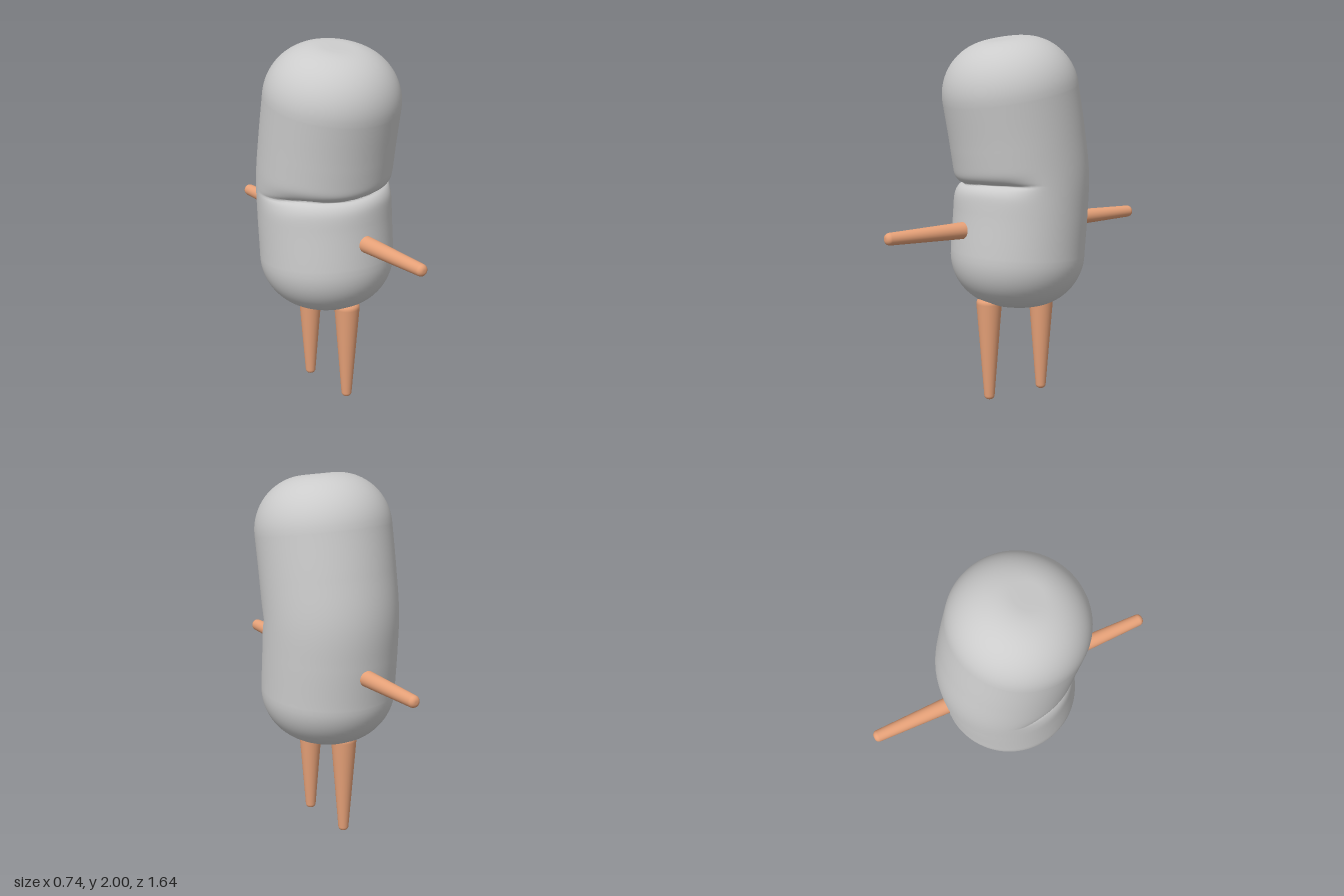
import * as THREE from 'three';
import { mergeVertices } from 'three/addons/utils/BufferGeometryUtils.js';

const grey = new THREE.MeshStandardMaterial({ color: 0xcccccc });
const skin = new THREE.MeshStandardMaterial({ color: 0xe6a178 });

const BASE = 0.52, LENGTH = 1.47, RADIUS = 0.37, ROUND = 0.29;

// Rounded capsule, bent forward along a spine, with a fold across the belly
function bodyGeometry() {
  const profile = [];
  const arc = 20, rows = 110, flat = RADIUS - ROUND;
  profile.push(new THREE.Vector2(0, 0), new THREE.Vector2(flat / 2, 0));
  for (let i = 0; i <= arc; i++) {
    const a = (i / arc) * Math.PI / 2;
    profile.push(new THREE.Vector2(flat + ROUND * Math.sin(a), ROUND * (1 - Math.cos(a))));
  }
  for (let i = 1; i < rows; i++) {
    profile.push(new THREE.Vector2(RADIUS, ROUND + (LENGTH - 2 * ROUND) * i / rows));
  }
  for (let i = 0; i <= arc; i++) {
    const a = (i / arc) * Math.PI / 2;
    profile.push(new THREE.Vector2(flat + ROUND * Math.cos(a), LENGTH - ROUND * (1 - Math.sin(a))));
  }
  profile.push(new THREE.Vector2(flat / 2, LENGTH), new THREE.Vector2(0, LENGTH));

  let geo = new THREE.LatheGeometry(profile, 80);
  geo.deleteAttribute('uv');
  geo.deleteAttribute('normal');
  geo = mergeVertices(geo, 1e-5);

  // Spine: slight backward lean below the fold, forward lean above
  const spine = new THREE.CatmullRomCurve3([
    [0.52, 0.005], [0.8, -0.005], [1.05, -0.025], [1.24, -0.032], [1.45, -0.003], [1.7, 0.043], [1.98, 0.094],
  ].map(([y, z]) => new THREE.Vector3(0, y, z)));
  const pos = geo.attributes.position;
  const v = new THREE.Vector3();
  for (let i = 0; i < pos.count; i++) {
    v.fromBufferAttribute(pos, i);
    const angle = Math.atan2(v.x, v.z);
    // Fold: deepest in front, reaching further round the right side
    const reach = angle < 0 ? 1.95 : 1.3;
    const mask = 1 - THREE.MathUtils.smoothstep(Math.abs(angle), reach * 0.5, reach);
    const d = v.y + BASE - (1.215 + 0.05 * v.x + 0.006 * Math.sin(angle * 5));
    const dent = mask * (0.035 * Math.exp(-Math.abs(d) / 0.014) + 0.022 * Math.exp(-((d / 0.06) ** 2)));
    const k = 1 - dent / RADIUS;
    const t = THREE.MathUtils.clamp(v.y / LENGTH, 0, 1);
    const c = spine.getPointAt(t), tan = spine.getTangentAt(t);
    const x = v.x * k, z = v.z * k;
    pos.setXYZ(i, x, c.y - z * tan.z, c.z + z * tan.y);
  }
  geo.computeVertexNormals();
  return geo;
}

// Tapered peg with a rounded tip, root at the origin, pointing along +y
function peg(name, length, rootRadius, tipRadius) {
  const bevel = tipRadius * 0.8;
  const pts = [new THREE.Vector2(0, 0), new THREE.Vector2(rootRadius * 0.75, 0),
    new THREE.Vector2(rootRadius * 0.95, 0.01), new THREE.Vector2(rootRadius, 0.03)];
  for (let i = 0; i <= 8; i++) {
    const a = (i / 8) * Math.PI / 2;
    pts.push(new THREE.Vector2(tipRadius - bevel * (1 - Math.cos(a)), length - bevel * (1 - Math.sin(a))));
  }
  pts.push(new THREE.Vector2(0, length));
  const mesh = new THREE.Mesh(new THREE.LatheGeometry(pts, 32), skin);
  mesh.name = name;
  return mesh;
}

export function createModel() {
  const model = new THREE.Group();
  model.name = 'figure';

  const body = new THREE.Mesh(bodyGeometry(), grey);
  body.name = 'body';
  model.add(body);

  // One arm and one leg towards the front, one of each towards the back
  for (const [side, dir, legZ] of [['front', 1, 0.185], ['back', -1, -0.167]]) {
    const arm = peg(side + 'Arm', 0.56, 0.047, 0.033);
    arm.position.set(0, 0.968, dir * 0.26);
    arm.rotation.x = dir * Math.PI / 2;
    model.add(arm);

    const leg = peg(side + 'Leg', 0.575, 0.07, 0.029);
    leg.position.set(0, 0.575, legZ);
    leg.rotation.x = Math.PI;
    model.add(leg);
  }
  return model;
}
